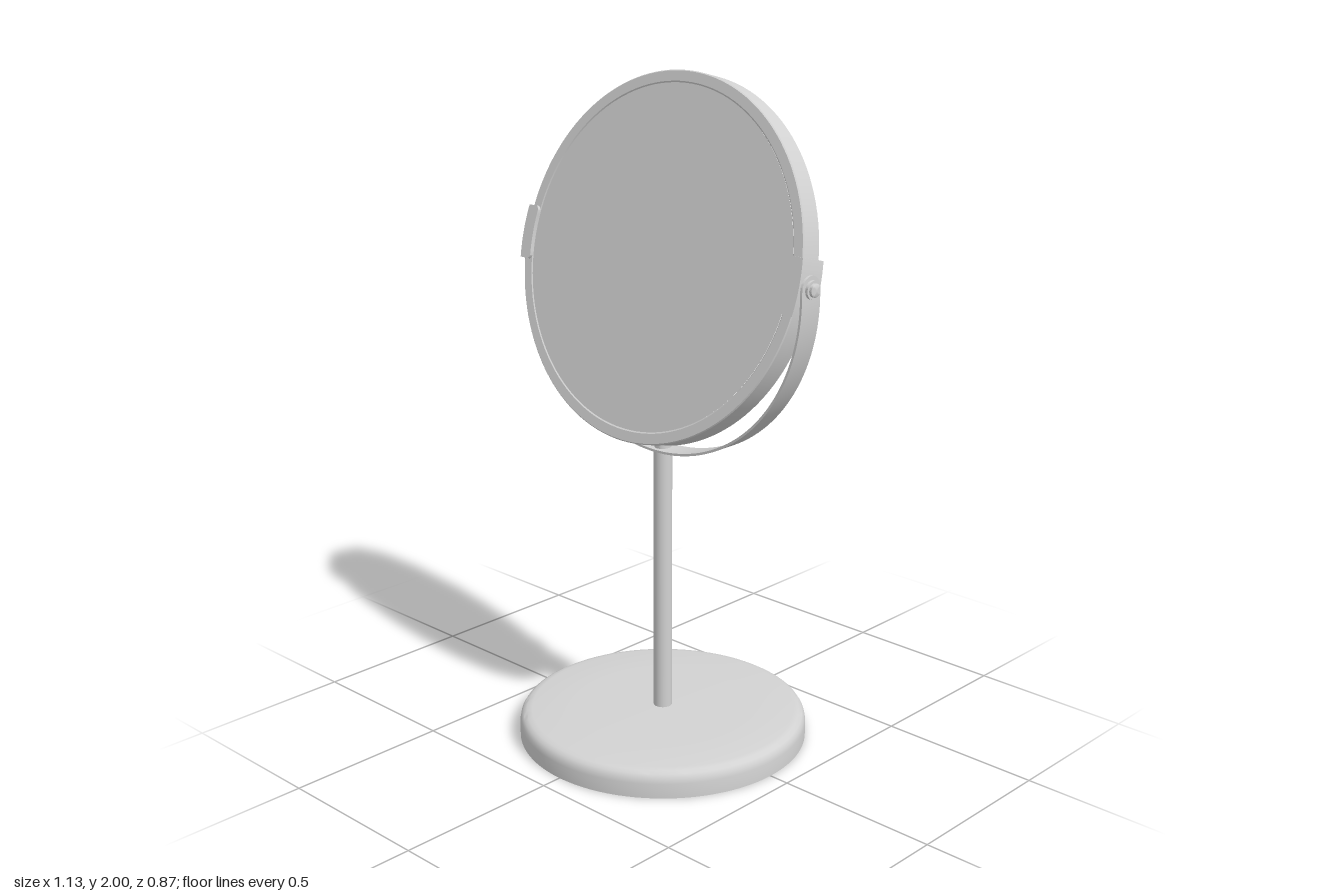
import * as THREE from 'three';
import { toCreasedNormals } from 'three/addons/utils/BufferGeometryUtils.js';

const PIVOT_Y = 1.48;
const TILT = -0.262;

export function createModel() {
  const model = new THREE.Group();
  const steel = new THREE.MeshStandardMaterial({ color: 0xd2d2d2 });
  steel.name = 'brushed steel';

  const add = (parent, name, geometry, x = 0, y = 0, z = 0) => {
    const mesh = new THREE.Mesh(geometry, steel);
    mesh.name = name;
    mesh.position.set(x, y, z);
    parent.add(mesh);
    return mesh;
  };
  const lathe = (points, segments = 96) => toCreasedNormals(
    new THREE.LatheGeometry(points.map(([r, y]) => new THREE.Vector2(r, y)), segments), 0.6);
  // Flat ring sector, centred on its depth
  const sector = (inner, outer, from, to, depth, segments) => {
    const shape = new THREE.Shape();
    shape.absarc(0, 0, outer, from, to, false);
    shape.absarc(0, 0, inner, to, from, true);
    const g = new THREE.ExtrudeGeometry(shape, { depth, bevelEnabled: false, curveSegments: segments });
    g.translate(0, 0, -depth / 2);
    return toCreasedNormals(g, 0.6);
  };

  // Hollow base with a rounded shoulder and a slightly domed top
  add(model, 'base', lathe([
    [0, 0.07], [0.37, 0.068], [0.396, 0.063], [0.415, 0.051], [0.425, 0.035], [0.43, 0],
    [0.437, 0], [0.437, 0.045], [0.434, 0.06], [0.427, 0.071], [0.416, 0.078], [0.4, 0.081],
    [0.26, 0.085], [0, 0.086],
  ]));
  add(model, 'baseWasher', new THREE.CylinderGeometry(0.09, 0.09, 0.008, 48), 0, 0.067, 0);
  add(model, 'baseScrew', new THREE.CylinderGeometry(0.025, 0.025, 0.012, 24), 0, 0.061, 0);

  // Post and the screw that holds the yoke on it
  add(model, 'post', new THREE.CylinderGeometry(0.028, 0.028, 0.836, 32), 0, 0.494, 0);
  add(model, 'yokeScrew', lathe([
    [0, 0], [0.025, 0], [0.025, 0.014], [0.02, 0.02], [0, 0.022],
  ], 24), 0, 0.913, 0);

  // Half-ring yoke of flat strip
  const yokeY = 1.456;
  add(model, 'yoke', sector(0.539, 0.546, Math.PI, Math.PI * 2, 0.076, 64), 0, yokeY, 0);

  // Rounded yoke ends and pivot bolts
  const tabShape = new THREE.Shape();
  tabShape.moveTo(-0.038, yokeY - PIVOT_Y);
  tabShape.lineTo(0.038, yokeY - PIVOT_Y);
  tabShape.absarc(0, 0, 0.038, 0, Math.PI, false);
  const tabGeometry = toCreasedNormals(new THREE.ExtrudeGeometry(tabShape,
    { depth: 0.007, bevelEnabled: false, curveSegments: 24 }).translate(0, 0, -0.0035), 0.6);
  const boltGeometry = lathe([
    [0, 0], [0.026, 0], [0.026, 0.01], [0.019, 0.01], [0.019, 0.018], [0.014, 0.021], [0, 0.021],
  ], 24);
  for (const side of [1, -1]) {
    const label = side > 0 ? 'left' : 'right';
    add(model, label + 'YokeEnd', tabGeometry, side * 0.5425, PIVOT_Y, 0).rotation.y = side * Math.PI / 2;
    add(model, label + 'PivotBolt', boltGeometry, side * 0.544, PIVOT_Y, 0).rotation.z = -side * Math.PI / 2;
  }

  // Tilting two-sided mirror
  const head = new THREE.Group();
  head.name = 'mirrorHead';
  head.position.y = PIVOT_Y;
  head.rotation.x = TILT;
  model.add(head);
  add(head, 'mirrorRim', lathe([
    [0.495, -0.031], [0.5, -0.035], [0.529, -0.035], [0.532, -0.032],
    [0.532, 0.032], [0.529, 0.035], [0.5, 0.035], [0.495, 0.031], [0.495, -0.031],
  ], 128)).rotation.x = Math.PI / 2;
  for (const face of [1, -1]) {
    const glass = add(head, face > 0 ? 'frontGlass' : 'backGlass',
      new THREE.CircleGeometry(0.496, 128), 0, 0, face * 0.0335);
    if (face < 0) glass.rotation.y = Math.PI;
  }

  // Clips gripping the rim at both pivots
  const clip = new THREE.Shape();
  const a = 0.148;
  clip.absarc(0, 0, 0.539, -a, a, false);
  clip.lineTo(0.505, 0.08);
  clip.quadraticCurveTo(0.494, 0.079, 0.494, 0.066);
  clip.quadraticCurveTo(0.502, 0, 0.494, -0.066);
  clip.quadraticCurveTo(0.494, -0.079, 0.505, -0.08);
  const clipGeometry = toCreasedNormals(new THREE.ExtrudeGeometry(clip, {
    depth: 0.09, bevelEnabled: false, curveSegments: 12,
  }).translate(0, 0, -0.045), 0.6);
  for (const side of [1, -1]) {
    add(head, side > 0 ? 'leftClip' : 'rightClip', clipGeometry).rotation.y = side > 0 ? 0 : Math.PI;
  }

  return model;
}
